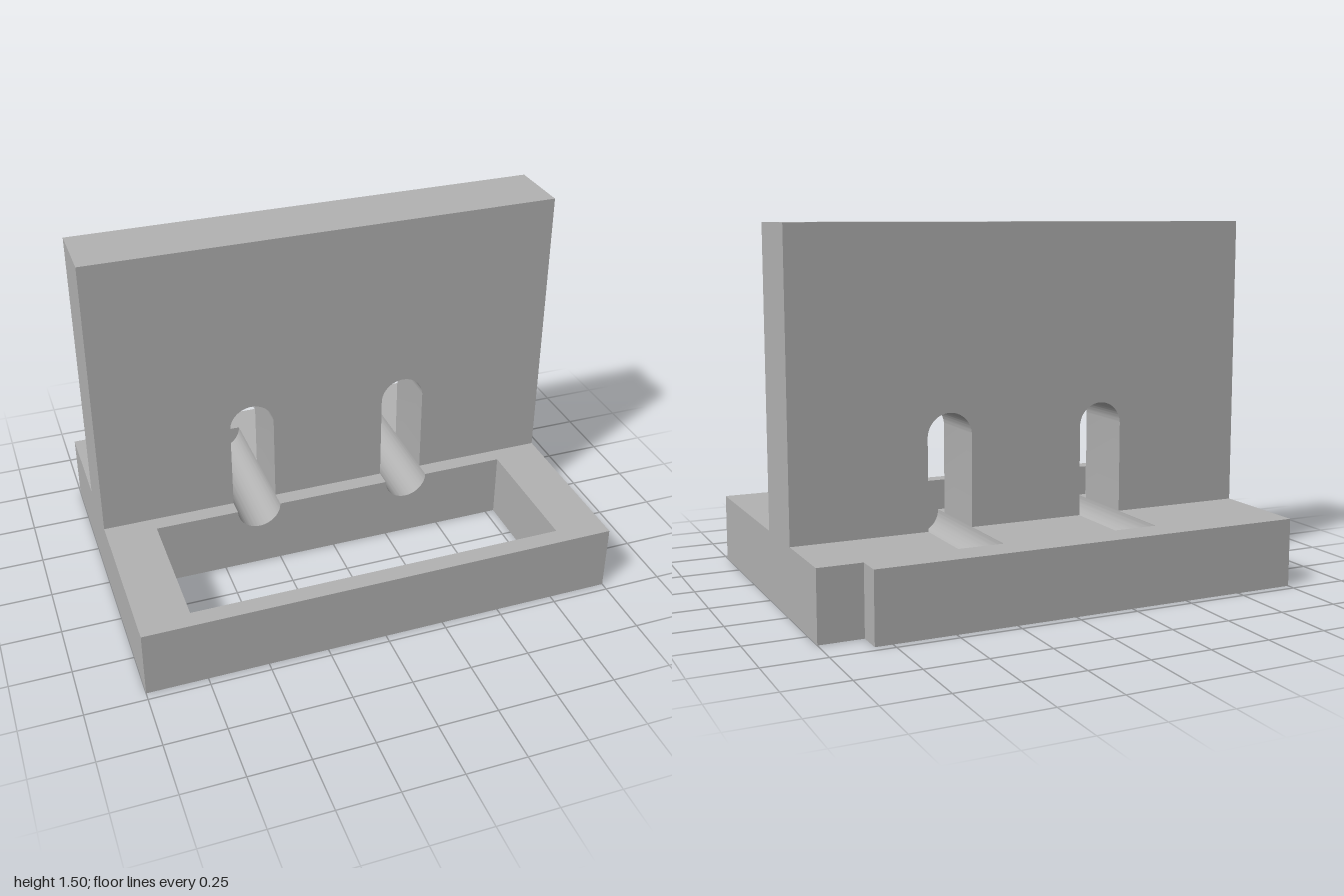
import * as THREE from 'three';
import { toCreasedNormals } from 'three/addons/utils/BufferGeometryUtils.js';

const W = 1, D = 0.715, BASE = 0.285, TOP = 1.5;
const SLOTS = [-0.34, 0.34], R = 0.095, ARCH = 0.66;
const GROOVE_BACK = -0.58, GROOVE_FRONT = 0.07;

function polygon(points) {
  return new THREE.Shape(points.map(([x, y]) => new THREE.Vector2(x, y)));
}

export function createModel() {
  const group = new THREE.Group();
  const grey = new THREE.MeshStandardMaterial({ color: 0xb2b2b2 });
  grey.name = 'grey';

  function add(name, shape, depth, place) {
    const solid = new THREE.ExtrudeGeometry(shape, { depth, bevelEnabled: false, curveSegments: 24 });
    place(solid);
    const mesh = new THREE.Mesh(toCreasedNormals(solid, 0.5), grey);
    mesh.name = name;
    group.add(mesh);
  }
  // Front profile pushed from z0 to z1
  const addProfile = (name, shape, z0, z1) => add(name, shape, z1 - z0, (g) => g.translate(0, 0, z0));
  // Floor plan in x and z, raised to the base height
  const addPlan = (name, shape) => add(name, shape, BASE, (g) => g.rotateX(Math.PI / 2).translate(0, BASE, 0));

  // Upright wall with two arched slots open at the bottom
  const wall = new THREE.Shape();
  wall.moveTo(-W, BASE);
  for (const x of SLOTS) {
    wall.lineTo(x - R, BASE);
    wall.lineTo(x - R, ARCH);
    wall.absarc(x, ARCH, R, Math.PI, 0, true);
    wall.lineTo(x + R, BASE);
  }
  wall.lineTo(W, BASE);
  wall.lineTo(W, TOP);
  wall.lineTo(-W, TOP);
  addProfile('uprightWall', wall, -0.285, 0);

  // Middle of the base with two half-round grooves under the slots
  const grooved = new THREE.Shape();
  grooved.moveTo(W, BASE);
  for (const x of [...SLOTS].reverse()) {
    grooved.lineTo(x + R, BASE);
    grooved.absarc(x, BASE, R, 0, -Math.PI, true);
  }
  grooved.lineTo(-W, BASE);
  grooved.lineTo(-W, 0);
  grooved.lineTo(W, 0);
  addProfile('groovedBase', grooved, GROOVE_BACK, GROOVE_FRONT);

  // Front frame around the rectangular opening
  addPlan('frontFrame', polygon([
    [-W, GROOVE_FRONT], [-0.79, GROOVE_FRONT], [-0.79, 0.64], [0.79, 0.64],
    [0.79, GROOVE_FRONT], [W, GROOVE_FRONT], [W, D], [-W, D],
  ]));

  // Rear strip with the notched left corner
  addPlan('rearStrip', polygon([
    [-W, -D], [0.82, -D], [0.82, -0.61], [W, -0.61], [W, GROOVE_BACK], [-W, GROOVE_BACK],
  ]));

  return group;
}
